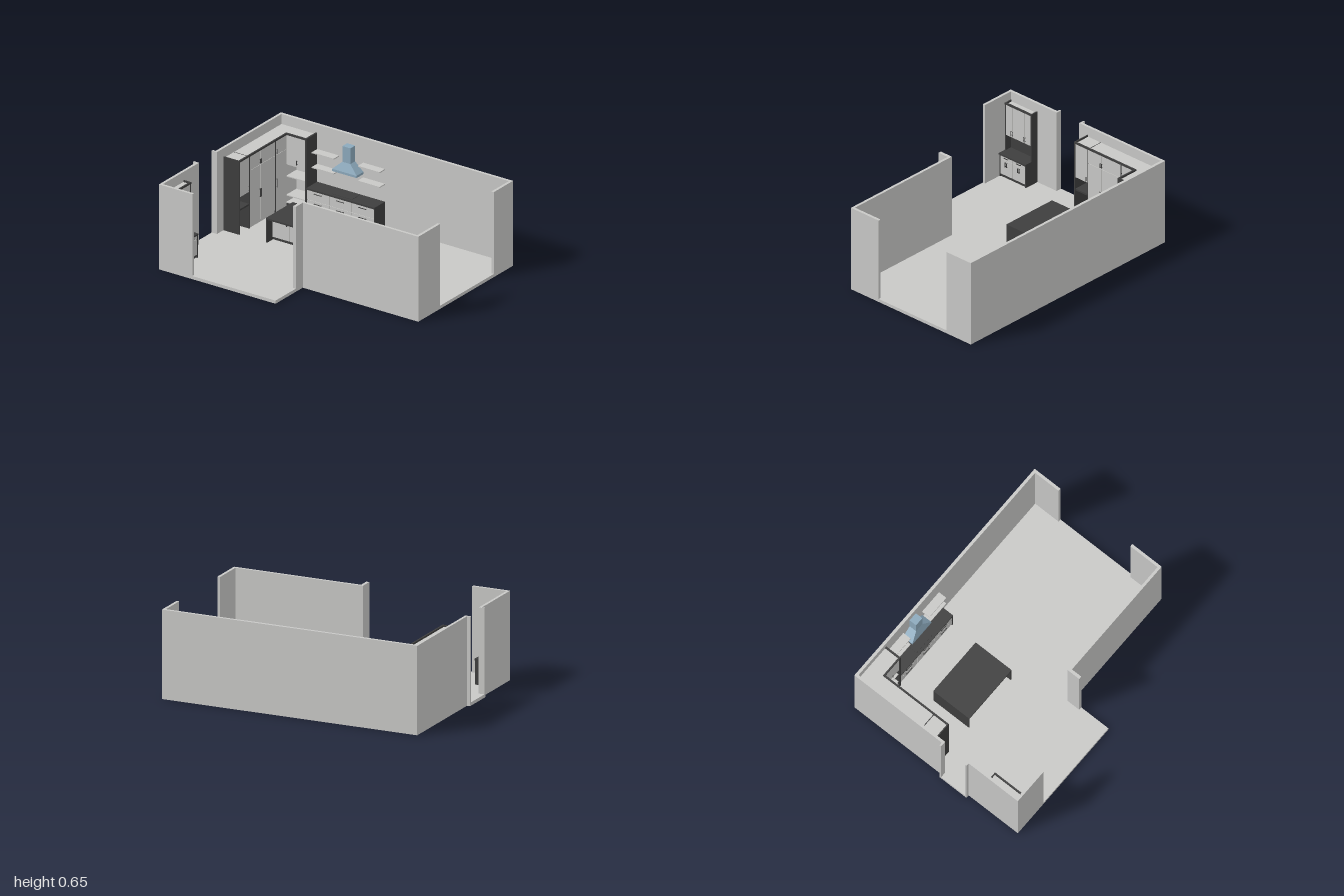
import * as THREE from 'three';

export function createModel() {
  const root = new THREE.Group();
  root.name = 'kitchenRoom';
  const mat = (name, color) => {
    const m = new THREE.MeshStandardMaterial({ color });
    m.name = name;
    return m;
  };
  const light = mat('lightGrey', 0xc8c8c6);
  const dark = mat('charcoal', 0x3e3e3e);
  const steel = mat('blueSteel', 0x8ca9bc);

  const group = (name) => {
    const g = new THREE.Group();
    g.name = name;
    root.add(g);
    return g;
  };
  // box given by its limits on each axis
  const box = (parent, name, m, x0, x1, y0, y1, z0, z1) => {
    const mesh = new THREE.Mesh(new THREE.BoxGeometry(x1 - x0, y1 - y0, z1 - z0), m);
    mesh.position.set((x0 + x1) / 2, (y0 + y1) / 2, (z0 + z1) / 2);
    mesh.name = name;
    parent.add(mesh);
    return mesh;
  };
  // cabinet front facing +x, +z or -z: u runs along the front, d outwards
  const front = (parent, dir, plane) => {
    const put = (name, m, u0, u1, y0, y1, d0, d1) => {
      if (dir === '+x') box(parent, name, m, plane + d0, plane + d1, y0, y1, u0, u1);
      else if (dir === '+z') box(parent, name, m, u0, u1, y0, y1, plane + d0, plane + d1);
      else box(parent, name, m, u0, u1, y0, y1, plane - d1, plane - d0);
    };
    const g = 0.001, t = 0.006, r = 0.002;
    return {
      put,
      door: (u0, u1, y0, y1) => put('door', light, u0 + g, u1 - g, y0 + g, y1 - g, 0, t),
      upright: (u, y0, y1) => {
        put('handle', dark, u - r, u + r, y0, y1, t + 0.005, t + 0.009);
        for (const y of [y0 + 0.003, y1 - 0.006]) put('handlePost', dark, u - r, u + r, y, y + 0.003, t, t + 0.006);
      },
      level: (u, y, len) => {
        put('handle', dark, u - len / 2, u + len / 2, y - r, y + r, t + 0.005, t + 0.009);
        for (const s of [-1, 1]) put('handlePost', dark, u + s * len * 0.42 - r, u + s * len * 0.42 + r, y - r, y + r, t, t + 0.006);
      },
    };
  };

  // floor slab, L-shaped
  const F = 0.024, H = 0.65;
  const plan = new THREE.Shape([[-0.976, 0.74], [1, 0.74], [1, -0.402], [0.017, -0.402], [0.017, -0.73], [-0.976, -0.73]]
    .map(([x, y]) => new THREE.Vector2(x, y)));
  const floor = new THREE.Mesh(new THREE.ExtrudeGeometry(plan, { depth: F, bevelEnabled: false }), light);
  floor.rotation.x = -Math.PI / 2;
  floor.name = 'floor';
  root.add(floor);

  // walls with open passages
  const walls = group('walls');
  const wall = (name, x0, x1, z0, z1) => box(walls, name, light, x0, x1, F, H, z0, z1);
  wall('backWall', -0.976, 1, -0.74, -0.718);
  wall('rightSideWallBack', -0.976, -0.956, -0.718, 0.046);
  wall('rightSideWallFront', -0.976, -0.956, 0.288, 0.73);
  wall('frontWallStub', -0.956, -0.692, 0.71, 0.73);
  wall('leftSideWallBack', 0.979, 1, -0.718, -0.508);
  wall('leftSideWallFront', 0.979, 1, 0.138, 0.382);
  wall('frontWall', 0.017, 1, 0.382, 0.402);
  wall('cornerStub', -0.006, 0.017, 0.382, 0.486);
  wall('doorJamb', -1, -0.956, 0.046, 0.06);
  wall('doorJamb', -1, -0.956, 0.274, 0.288);
  box(walls, 'threshold', light, -1, -0.976, 0, F, 0.046, 0.288);

  // tall cabinets along the side wall
  const T = 0.587, C = 0.574, P = 0.047;
  const tall = group('tallCabinets');
  box(tall, 'carcass', light, -0.956, -0.83, F, C, -0.718, -0.149);
  box(tall, 'endPanel', dark, -0.956, -0.82, F, T, -0.026, -0.018);
  box(tall, 'topTrim', dark, -0.832, -0.82, C, T, -0.59, -0.026);
  box(tall, 'divider', dark, -0.956, -0.822, F, C, -0.149, -0.143);
  box(tall, 'divider', dark, -0.832, -0.822, F, C, -0.464, -0.457);
  box(tall, 'deskTop', dark, -0.956, -0.826, 0.2, 0.213, -0.143, -0.026);
  box(tall, 'nookCabinet', light, -0.956, -0.83, 0.305, C, -0.143, -0.026);
  const tf = front(tall, '+x', -0.83);
  tf.door(-0.143, -0.026, 0.305, C);
  tf.upright(-0.134, 0.318, 0.352);
  for (const [a, b, h] of [[-0.457, -0.275, -0.282], [-0.275, -0.149, -0.268], [-0.59, -0.464, -0.471]]) {
    tf.door(a, b, P, 0.465);
    tf.door(a, b, 0.465, C);
    tf.upright(h, 0.22, 0.285);
    tf.upright(h, 0.476, 0.512);
  }

  // corner unit on the back wall: closed above, open shelves below
  const corner = group('cornerUnit');
  box(corner, 'upperCarcass', light, -0.83, -0.665, 0.345, C, -0.718, -0.6);
  box(corner, 'endPanel', dark, -0.665, -0.652, F, T, -0.718, -0.588);
  box(corner, 'topTrim', dark, -0.832, -0.665, C, T, -0.6, -0.588);
  box(corner, 'plinth', dark, -0.83, -0.665, F, 0.05, -0.718, -0.602);
  for (const y of [0.05, 0.105, 0.25]) box(corner, 'openShelf', light, -0.83, -0.665, y, y + 0.007, -0.718, -0.598);
  const cf = front(corner, '+z', -0.6);
  cf.door(-0.822, -0.665, 0.345, C);
  cf.upright(-0.735, 0.365, 0.4);

  // back counter with drawers and cooktop
  const counter = group('backCounter');
  box(counter, 'carcass', light, -0.652, -0.083, P, 0.2, -0.718, -0.602);
  box(counter, 'plinth', dark, -0.652, -0.083, F, P, -0.718, -0.605);
  box(counter, 'endPanel', dark, -0.083, -0.075, F, 0.2, -0.718, -0.594);
  box(counter, 'worktop', dark, -0.652, -0.075, 0.2, 0.213, -0.718, -0.59);
  box(counter, 'cooktop', dark, -0.45, -0.28, 0.213, 0.216, -0.695, -0.61);
  const bf = front(counter, '+z', -0.602);
  for (let i = 0; i < 3; i++) {
    const a = -0.652 + i * 0.1897;
    for (const [y0, y1] of [[P, 0.124], [0.124, 0.2]]) {
      bf.door(a, a + 0.1897, y0, y1);
      bf.level(a + 0.095, y1 - 0.018, 0.065);
    }
  }

  // wall shelves either side of the hood
  const shelves = group('wallShelves');
  for (const [a, b] of [[-0.652, -0.465], [-0.26, -0.075]])
    for (const y of [0.342, 0.455]) box(shelves, 'wallShelf', light, a, b, y, y + 0.008, -0.718, -0.652);

  // extractor hood
  const hood = group('extractorHood');
  const hx = -0.363, zb = -0.718;
  box(hood, 'hoodRim', steel, hx - 0.104, hx + 0.104, 0.375, 0.392, zb, -0.635);
  box(hood, 'chimney', steel, hx - 0.034, hx + 0.034, 0.455, 0.575, zb, -0.66);
  const flare = new THREE.BoxGeometry(0.208, 0.063, 0.083);
  const fp = flare.attributes.position;
  for (let i = 0; i < fp.count; i++) {
    if (fp.getY(i) < 0) continue;
    fp.setX(i, Math.sign(fp.getX(i)) * 0.034);
    if (fp.getZ(i) > 0) fp.setZ(i, 0.0165);
  }
  const canopy = new THREE.Mesh(flare.toNonIndexed(), steel);
  canopy.geometry.computeVertexNormals();
  canopy.position.set(hx, 0.4235, -0.6765);
  canopy.name = 'canopy';
  hood.add(canopy);

  // island with an overhang on the seating side
  const island = group('island');
  box(island, 'carcass', light, -0.587, -0.138, P, 0.2, -0.334, -0.09);
  box(island, 'plinth', dark, -0.587, -0.138, F, P, -0.33, -0.095);
  box(island, 'worktop', dark, -0.595, -0.13, 0.2, 0.213, -0.343, -0.02);
  for (const x of [-0.595, -0.138]) box(island, 'sidePanel', dark, x, x + 0.008, F, 0.2, -0.341, -0.022);
  const rear = front(island, '-z', -0.334), seat = front(island, '+z', -0.09);
  const w = 0.1497, xs = [0, 1, 2, 3].map((i) => -0.587 + i * w);
  for (const i of [0, 2]) {
    for (const [y0, y1] of [[P, 0.124], [0.124, 0.2]]) {
      rear.door(xs[i], xs[i + 1], y0, y1);
      rear.level(xs[i] + w / 2, y1 - 0.018, 0.06);
    }
    seat.door(xs[i], xs[i + 1], P, 0.2);
  }
  seat.upright(-0.46, 0.158, 0.192);
  seat.upright(-0.262, 0.158, 0.192);
  for (const f of [rear, seat]) {
    f.door(xs[1], hx, P, 0.2);
    f.door(hx, xs[2], P, 0.2);
    for (const s of [-1, 1]) f.upright(hx + s * 0.007, 0.158, 0.192);
  }

  // buffet by the front corner
  const buffet = group('buffet');
  const z0 = 0.457, z1 = 0.71, e = 0.008;
  box(buffet, 'lowerCarcass', light, -0.956, -0.846, P, 0.198, z0 + e, z1 - e);
  box(buffet, 'plinth', dark, -0.956, -0.848, F, P, z0 + e, z1 - e);
  box(buffet, 'worktop', dark, -0.956, -0.832, 0.198, 0.21, z0, z1);
  box(buffet, 'backPanel', dark, -0.956, -0.948, 0.21, 0.33, z0 + e, z1 - e);
  box(buffet, 'upperCarcass', light, -0.956, -0.904, 0.33, C, z0 + e, z1 - e);
  box(buffet, 'topTrim', dark, -0.905, -0.893, C, T, z0, z1);
  for (const z of [z0, z1 - e]) {
    box(buffet, 'lowerEndPanel', dark, -0.956, -0.838, F, 0.198, z, z + e);
    box(buffet, 'upperEndPanel', dark, -0.956, -0.896, 0.21, T, z, z + e);
  }
  const lf = front(buffet, '+x', -0.846), uf = front(buffet, '+x', -0.904);
  const half = (z1 - z0) / 2 - e;
  for (let i = 0; i < 2; i++) {
    const a = z0 + e + i * half, m = a + half / 2;
    lf.door(a, a + half, 0.167, 0.198);
    lf.level(m, 0.186, 0.04);
    for (const s of [-1, 1]) {
      const p = Math.min(m, m + s * half / 2), q = Math.max(m, m + s * half / 2);
      lf.door(p, q, P, 0.167);
      lf.upright(m + s * 0.007, 0.118, 0.155);
      uf.door(p, q, 0.33, C);
      uf.upright(m + s * 0.007, 0.345, 0.382);
    }
  }
  return root;
}
